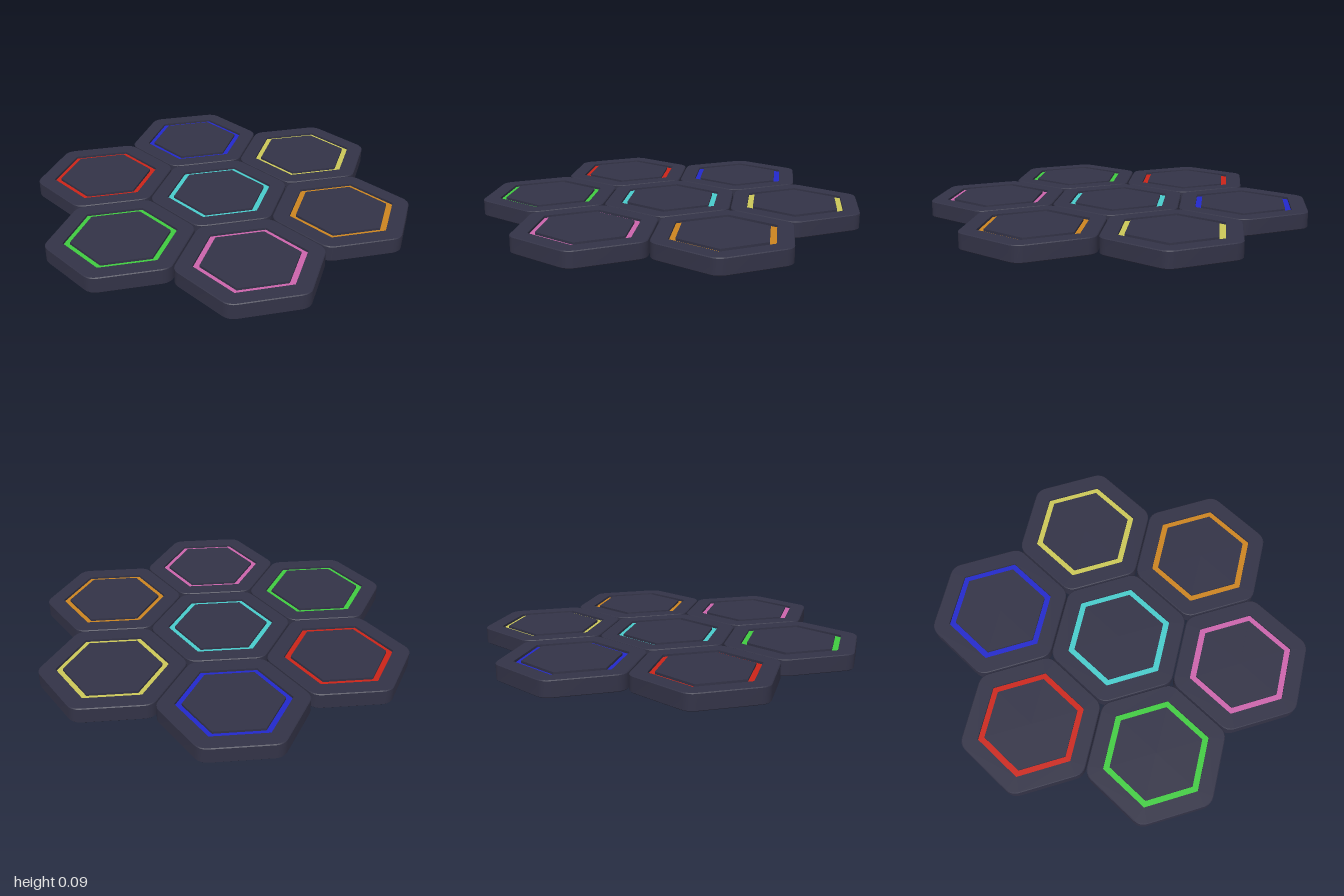
import * as THREE from 'three';
import { toCreasedNormals } from 'three/addons/utils/BufferGeometryUtils.js';

const HEIGHT = 0.085, GROOVE_Y = 0.073;
const SPACING = 0.669, ROW = SPACING * Math.sqrt(3) / 2;
const ARC_STEPS = 4;

// Hexagon loop with rounded corners, tips along z
function hexLoop({ a, y, r }) {
  const points = [];
  const reach = (a - r) / Math.cos(Math.PI / 6);
  for (let k = 0; k < 6; k++) {
    const corner = Math.PI / 6 + k * Math.PI / 3;
    for (let s = 0; s <= ARC_STEPS; s++) {
      const t = corner + (s / ARC_STEPS - 0.5) * Math.PI / 3;
      points.push(new THREE.Vector3(
        reach * Math.cos(corner) + r * Math.cos(t), y,
        -reach * Math.sin(corner) - r * Math.sin(t)));
    }
  }
  return points;
}

// Skin a run of hexagon sections, each { a: apothem, y: height, r: corner radius }
function skinHex(sections) {
  const loops = sections.map(hexLoop);
  const positions = [];
  const triangle = new THREE.Triangle();
  const add = (...p) => {
    if (triangle.set(...p).getArea() > 1e-10) p.forEach(v => positions.push(v.x, v.y, v.z));
  };
  for (let i = 0; i < loops.length - 1; i++) {
    const low = loops[i], high = loops[i + 1];
    for (let j = 0; j < low.length; j++) {
      const n = (j + 1) % low.length;
      add(low[j], low[n], high[n]);
      add(low[j], high[n], high[j]);
    }
  }
  const geometry = new THREE.BufferGeometry();
  geometry.setAttribute('position', new THREE.Float32BufferAttribute(positions, 3));
  return toCreasedNormals(geometry, Math.PI / 7);
}

export function createModel() {
  const model = new THREE.Group();
  model.name = 'hexagonPanels';

  // Tile body: flat base, softened edges, groove in the top face
  const bodyGeometry = skinHex([
    { a: 0, y: 0, r: 0 },
    { a: 0.327, y: 0, r: 0.066 },
    { a: 0.331, y: 0.004, r: 0.07 },
    { a: 0.331, y: HEIGHT - 0.004, r: 0.07 },
    { a: 0.327, y: HEIGHT, r: 0.066 },
    { a: 0.248, y: HEIGHT, r: 0.002 },
    { a: 0.248, y: GROOVE_Y - 0.004, r: 0.002 },
    { a: 0.217, y: GROOVE_Y - 0.004, r: 0.002 },
    { a: 0.217, y: HEIGHT, r: 0.002 },
    { a: 0, y: HEIGHT, r: 0 },
  ]);

  // Coloured light strip lying in the groove
  const stripGeometry = skinHex([
    { a: 0.248, y: GROOVE_Y, r: 0.002 },
    { a: 0.217, y: GROOVE_Y, r: 0.002 },
  ]);

  const bodyMaterial = new THREE.MeshStandardMaterial({ color: 0x333347 });

  // Position and strip colour of each tile
  const tiles = [
    ['backRight', -SPACING / 2, -ROW, 0xcc2418],
    ['backLeft', SPACING / 2, -ROW, 0x2228cc],
    ['middleRight', -SPACING, 0, 0x40cc40],
    ['centre', 0, 0, 0x48cccc],
    ['middleLeft', SPACING, 0, 0xccc858],
    ['frontRight', -SPACING / 2, ROW, 0xcc64ac],
    ['frontLeft', SPACING / 2, ROW, 0xcc8420],
  ];
  for (const [name, x, z, color] of tiles) {
    const tile = new THREE.Group();
    tile.name = name + 'Tile';
    tile.position.set(x, 0, z);
    const body = new THREE.Mesh(bodyGeometry, bodyMaterial);
    body.name = 'tileBody';
    const strip = new THREE.Mesh(stripGeometry, new THREE.MeshStandardMaterial({ color }));
    strip.name = 'lightStrip';
    tile.add(body, strip);
    model.add(tile);
  }
  return model;
}
